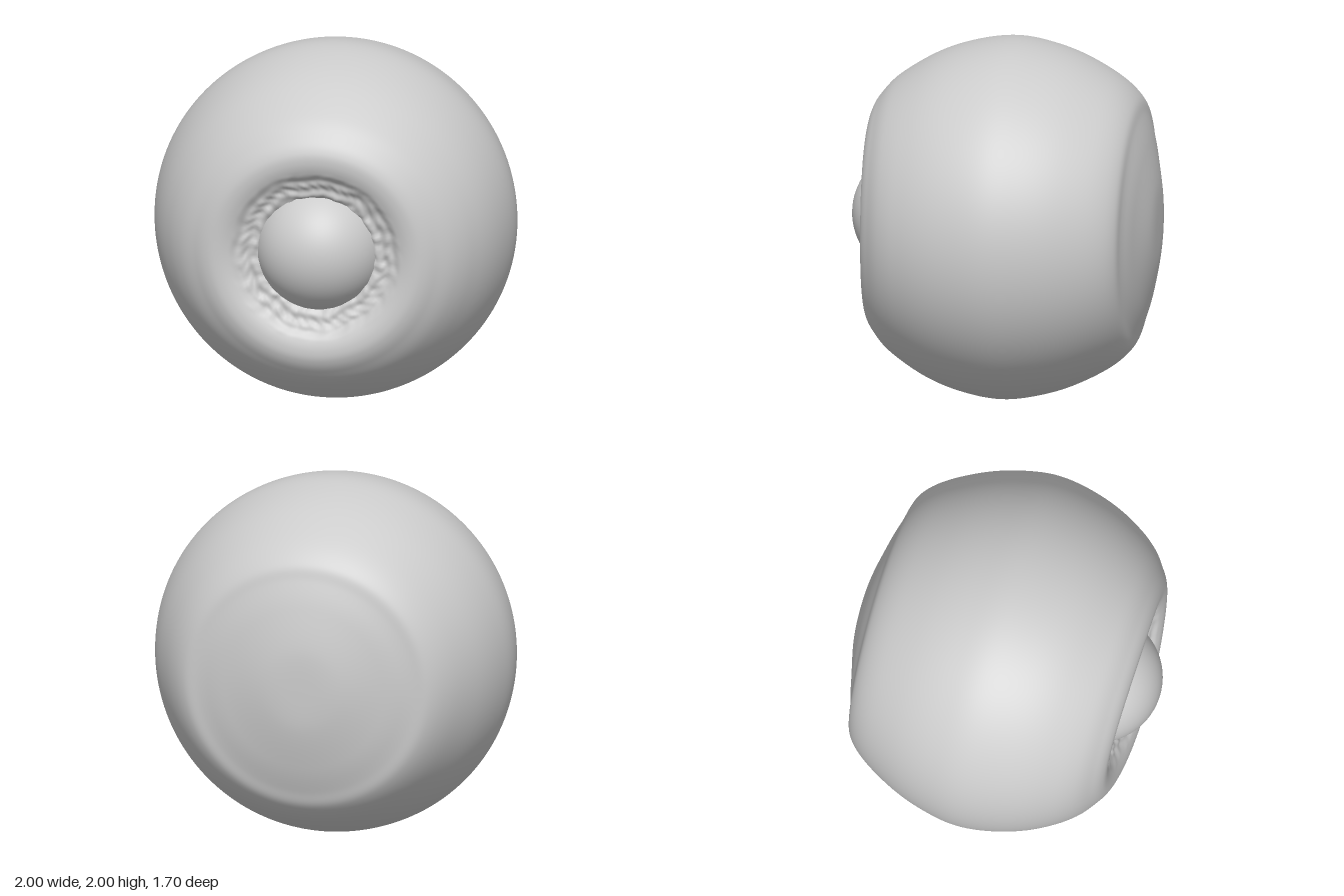
import * as THREE from 'three';
import { mergeVertices } from 'three/addons/utils/BufferGeometryUtils.js';

const { smoothstep } = THREE.MathUtils;

// Body profile as [radius, z], from the middle of the back to inside the socket
const PROFILE = [
  [0, -0.853], [0.22, -0.845], [0.45, -0.8], [0.6, -0.755], [0.7, -0.715], [0.805, -0.6],
  [0.912, -0.4], [0.976, -0.2], [1, -0.01], [0.968, 0.2], [0.895, 0.4], [0.77, 0.6],
  [0.67, 0.695], [0.6, 0.735], [0.54, 0.742], [0.48, 0.727], [0.43, 0.695], [0.38, 0.675],
  [0.33, 0.66], [0.29, 0.62], [0.24, 0.55], [0.1, 0.5], [0, 0.49],
];

// Fleshy folds running round and across the socket
function wrinkle(a, r) {
  const rings = Math.sin(r * 95 + 1.3 * Math.sin(a * 5) + Math.sin(a * 11 + 1));
  const creases = Math.sin(a * 23 + 2 * Math.sin(a * 3) + r * 18);
  const fine = Math.sin(a * 41 + 3 * Math.sin(r * 40));
  return 0.0035 * rings + 0.0035 * creases + 0.002 * fine;
}

function bodyGeometry() {
  const curve = new THREE.SplineCurve(PROFILE.map(([r, z]) => new THREE.Vector2(r, z)));
  const points = curve.getPoints(220);
  points[0].x = points[points.length - 1].x = 0;
  let geo = new THREE.LatheGeometry(points, 160);
  geo.rotateX(Math.PI / 2);
  geo.deleteAttribute('uv');
  geo.deleteAttribute('normal');
  geo = mergeVertices(geo, 1e-5);
  const p = geo.attributes.position;
  for (let i = 0; i < p.count; i++) {
    const x = p.getX(i), y = p.getY(i);
    let z = p.getZ(i);
    const r = Math.hypot(x, y), a = Math.atan2(y, x);
    const side = r > 0 ? (x * x) / (r * r) : 0;
    if (z > 0) {
      // The rim sits lower at the sides, and the socket is wrinkled
      const folds = smoothstep(r, 0.27, 0.33) * (1 - smoothstep(r, 0.4, 0.5));
      z -= 0.027 * side * smoothstep(z, 0.5, 0.72) * smoothstep(r, 0.25, 0.4);
      if (z > 0.5) z += wrinkle(a, r) * folds;
    } else {
      // The back is a little flatter across its width
      z += 0.018 * side * smoothstep(r, 0.1, 0.45) * (1 - smoothstep(r, 0.55, 0.75));
    }
    p.setZ(i, z);
  }
  geo.computeVertexNormals();
  return geo;
}

export function createModel() {
  const group = new THREE.Group();
  const material = new THREE.MeshStandardMaterial({ color: 0xcccccc });

  // Rounded body with a flattened front and back
  const body = new THREE.Mesh(bodyGeometry(), material);
  body.name = 'body';
  body.position.y = 1;

  // Smooth ball seated in the socket
  const ball = new THREE.Mesh(new THREE.SphereGeometry(0.36, 64, 40), material);
  ball.name = 'socketBall';
  ball.position.set(0, 1, 0.492);

  group.add(body, ball);
  return group;
}
